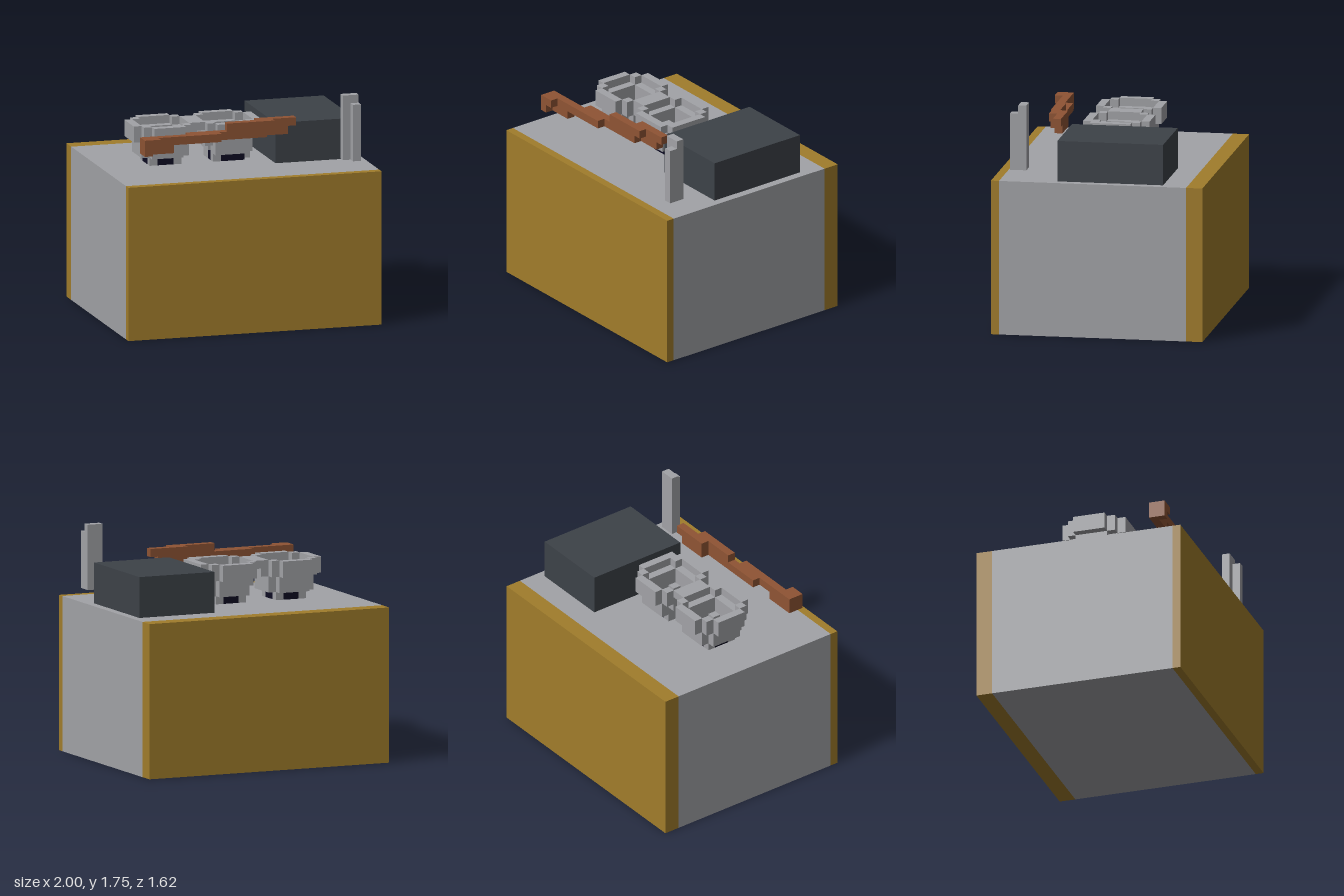
import * as THREE from 'three';

const U = 1 / 16; // one block
const FLOOR = 19; // top of the base, in blocks

const material = (name, color) => {
  const m = new THREE.MeshStandardMaterial({ color });
  m.name = name;
  return m;
};

export function createModel() {
  const gold = material('gold', 0xa17d2b);
  const grey = material('stone grey', 0xa2a3a7);
  const slate = material('slate', 0x3d4248);
  const brown = material('wood brown', 0x8f5434);
  const navy = material('dark navy', 0x0c0b22);

  const model = new THREE.Group();
  model.name = 'model';

  const group = (name, parent = model) => {
    const g = new THREE.Group();
    g.name = name;
    parent.add(g);
    return g;
  };

  // Box given by its min and max corners, in blocks
  const box = (name, mat, [x0, y0, z0], [x1, y1, z1], parent = model) => {
    const geo = new THREE.BoxGeometry((x1 - x0) * U, (y1 - y0) * U, (z1 - z0) * U);
    const mesh = new THREE.Mesh(geo, mat);
    mesh.name = name;
    mesh.position.set((x0 + x1) * U / 2, (y0 + y1) * U / 2, (z0 + z1) * U / 2);
    parent.add(mesh);
    return mesh;
  };

  // Base with gold front and back panels
  box('baseBody', grey, [-16, 0, -11], [16, FLOOR, 12]);
  box('frontPanel', gold, [-16, 0, 12], [16, FLOOR, 13]);
  box('backPanel', gold, [-16, 0, -13], [16, FLOOR, -11]);

  // Slate block
  box('slateBlock', slate, [5, FLOOR, -8], [15, 24, 5]);

  // Upright post
  const post = group('uprightPost');
  box('postBack', grey, [12, 20, 9], [14, 28, 10], post);
  box('postFront', grey, [13, 20, 10], [14, 27, 11], post);

  // Stepped wooden stick: [x0, x1, y, z] rows one block thick
  const stick = group('woodenStick');
  [
    [-13, -12, 22, 9], [-13, -11, 23, 9],
    [-13, -9, 22, 8], [-13, -3, 23, 8],
    [-7, 3, 23, 7], [-2, 4, 24, 7],
    [2, 6, 23, 6], [2, 7, 24, 6],
  ].forEach(([x0, x1, y, z]) => box('stickRow', brown, [x0, y, z], [x1, y + 1, z + 1], stick));

  // Round block bowls with a dark cross-shaped bottom
  const makeBowl = (name, cx, second) => {
    const bowl = group(name);
    bowl.position.x = cx * U;
    const put = (part, mat, a, b) => box(part, mat, a, b, bowl);

    // dark bottom
    put('bowlBottom', navy, [-1, 19, -2], [1, 20, 2]);
    put('bowlBottomSide', navy, [-2, 19, second ? 0 : -1], [-1, 20, 1]);
    put('bowlBottomSide', navy, [1, 19, -1], [2, 20, 1]);

    for (const sx of [-1, 1]) {
      for (const sz of [-1, 1]) {
        const x = sx > 0 ? 1 : -2, z = sz > 0 ? 1 : -2;
        const odd = second && sx > 0 && sz > 0;
        // lower and rim corners
        put('lowerCorner', odd ? navy : grey, [x, 19, z], [x + 1, 20, z + 1]);
        put('middleCorner', grey, [x, 20, z], [x + 1, 21, z + 1]);
        const X = sx > 0 ? 2 : -3, Z = sz > 0 ? 2 : -3;
        put('rimCorner', grey, [X, 22, Z], [X + 1, 24, Z + 1]);
      }
    }
    if (second) {
      put('innerBlock', grey, [-2, 19, -1], [-1, 21, 0]);
      put('foot', grey, [2, 19, -1], [3, 20, 1]);
      put('rimEnd', grey, [2, 23, 3], [3, 24, 4]);
      put('rimEnd', grey, [3, 23, 2], [4, 24, 3]);
    }

    // walls and flaring rim on the four sides
    for (const s of [-1, 1]) {
      const w = s > 0 ? 2 : -3, r = s > 0 ? 3 : -4;
      const low = second && s < 0 ? 21 : 20;
      const rimLow = second && s < 0 ? 23 : 22;
      put('sideWall', grey, [w, low, -2], [w + 1, 23, 2]);
      put('sideRim', grey, [r, rimLow, -2], [r + 1, 24, 2]);
      put('endWall', grey, [-2, 20, w], [2, 23, w + 1]);
      put('endRim', grey, [-2, 22, r], [2, 24, r + 1]);
    }
  };
  makeBowl('rightBowl', -8, false);
  makeBowl('middleBowl', 0, true);

  return model;
}
